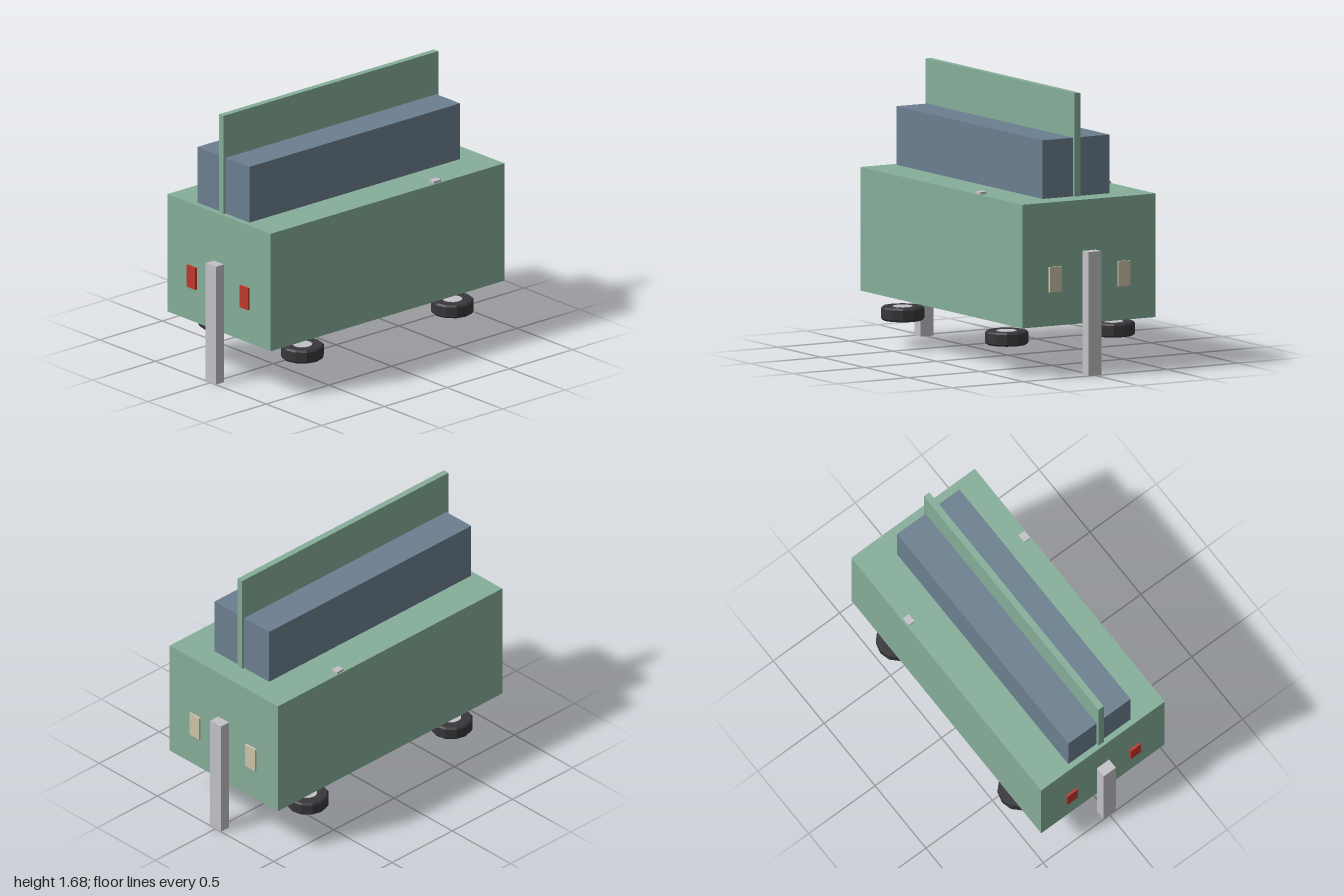
import * as THREE from 'three';

const material = (name, color) => {
  const m = new THREE.MeshStandardMaterial({ color });
  m.name = name;
  return m;
};

export function createModel() {
  const model = new THREE.Group();
  model.name = 'wagon';
  const green = material('sage green', 0x86ae9a);
  const blue = material('slate blue', 0x6c7f8f);
  const grey = material('light grey', 0xc2c2c7);
  const black = material('tyre black', 0x38383c);
  const cream = material('headlight cream', 0xcdc4aa);
  const red = material('tail light red', 0xc0392b);

  // Box given by its limits on each axis
  const box = (name, mat, [x0, x1], [y0, y1], [z0, z1]) => {
    const mesh = new THREE.Mesh(new THREE.BoxGeometry(x1 - x0, y1 - y0, z1 - z0), mat);
    mesh.position.set((x0 + x1) / 2, (y0 + y1) / 2, (z0 + z1) / 2);
    mesh.name = name;
    model.add(mesh);
  };

  // Body, cabin and the upright roof panel that cuts through it
  box('body', green, [-0.933, 0.932], [0.31, 1.056], [-0.465, 0.465]);
  box('cabin', blue, [-0.898, 0.782], [1.056, 1.41], [-0.234, 0.234]);
  box('roofPanel', green, [-0.915, 0.798], [1.056, 1.68], [-0.02, 0.02]);

  // Upright bumpers at both ends
  box('frontBumper', grey, [0.934, 1], [0, 0.748], [-0.046, 0.046]);
  box('rearBumper', grey, [-1, -0.934], [0, 0.748], [-0.046, 0.046]);

  // Lights and door handles, mirrored across z
  for (const s of [-1, 1]) {
    const span = (a, b) => (s > 0 ? [a, b] : [-b, -a]);
    box('headlight', cream, [0.93, 0.945], [0.515, 0.667], span(0.198, 0.282));
    box('tailLight', red, [-0.947, -0.93], [0.522, 0.66], span(0.2, 0.276));
    box('doorHandle', grey, [0.378, 0.434], [1.05, 1.071], span(0.413, 0.457));
  }

  // Wheels lie flat under the body: a hollow faceted tyre with a hub
  const tyreProfile = [
    [0.058, 0.039], [0.121, 0.041], [0.13, 0.03], [0.13, -0.03], [0.121, -0.041], [0.058, -0.039], [0.058, 0.039],
  ].reverse().map(([r, y]) => new THREE.Vector2(r, y));
  const tyreGeometry = new THREE.LatheGeometry(tyreProfile, 12).toNonIndexed();
  tyreGeometry.computeVertexNormals();
  const hubGeometry = new THREE.CylinderGeometry(0.06, 0.06, 0.084, 12);
  for (const x of [-0.598, 0.598]) {
    for (const z of [-0.373, 0.373]) {
      const wheel = new THREE.Group();
      wheel.name = 'wheel';
      const tyre = new THREE.Mesh(tyreGeometry, black);
      tyre.name = 'tyre';
      const hub = new THREE.Mesh(hubGeometry, grey);
      hub.name = 'hub';
      wheel.add(tyre, hub);
      wheel.position.set(x, 0.21, z);
      model.add(wheel);
    }
  }
  return model;
}
